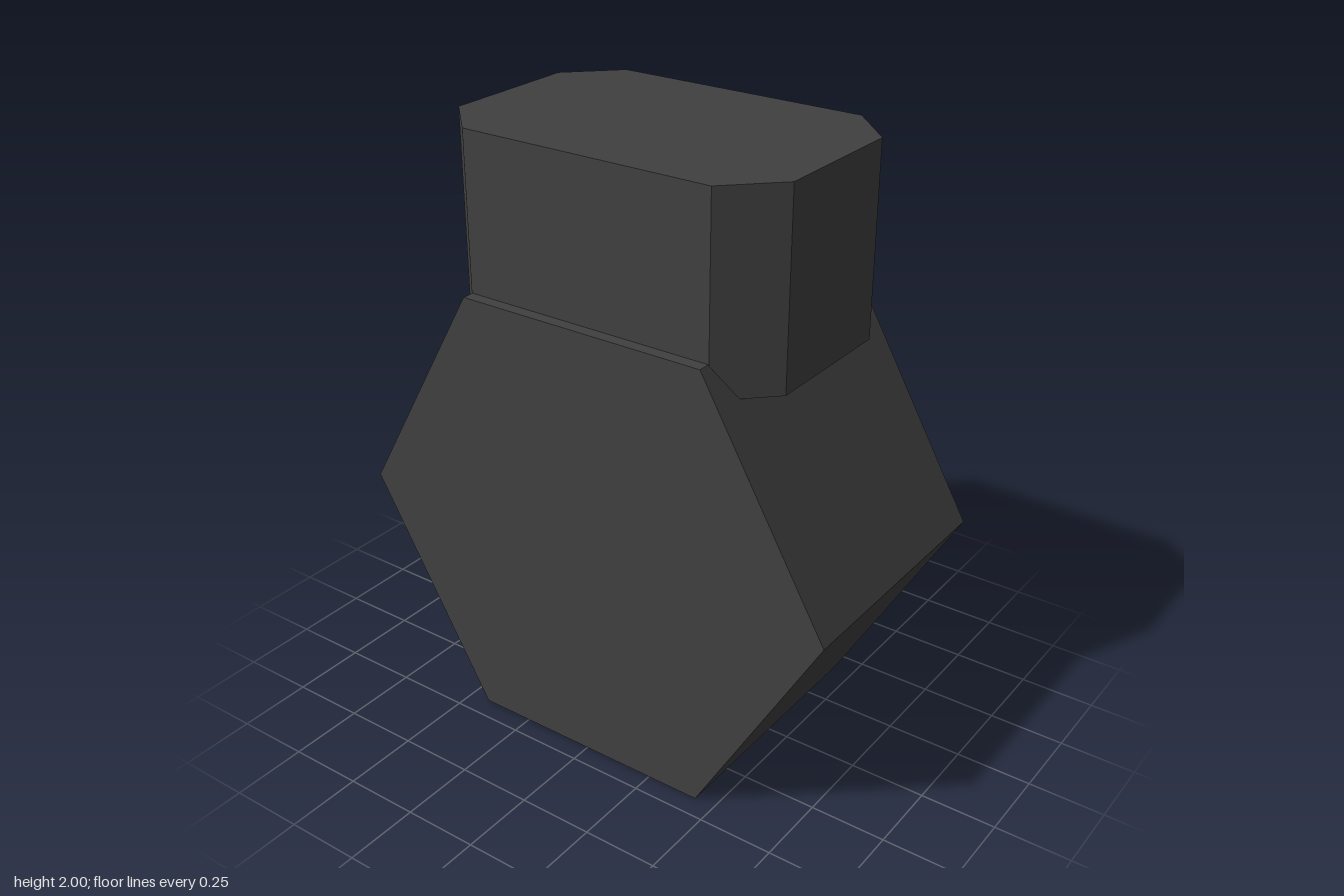
import * as THREE from 'three';

const RADIUS = 0.86;                          // corner radius of the hexagonal body
const HALF_H = RADIUS * Math.sqrt(3) / 2;     // half height across the flats

// Straight prism from a list of outline points, extruded along +z
function prism(points, depth) {
  const shape = new THREE.Shape(points.map(([x, y]) => new THREE.Vector2(x, y)));
  return new THREE.ExtrudeGeometry(shape, { depth, bevelEnabled: false });
}

export function createModel() {
  const group = new THREE.Group();
  group.name = 'hexagonalBlockWithNeck';
  const charcoal = new THREE.MeshStandardMaterial({ color: 0x404040, flatShading: true });
  charcoal.name = 'charcoal';

  // Hexagonal body standing on one flat side
  const hexagon = [];
  for (let i = 0; i < 6; i++) {
    const a = i * Math.PI / 3;
    hexagon.push([RADIUS * Math.cos(a), RADIUS * Math.sin(a)]);
  }
  const body = new THREE.Mesh(prism(hexagon, RADIUS), charcoal);
  body.name = 'body';
  body.position.set(0, HALF_H, -RADIUS / 2);
  group.add(body);

  // Neck with chamfered corners, sunk into the top of the body
  const w = 0.587, d = 0.39, c = 0.155;
  const outline = [
    [w, d - c], [w - c, d], [c - w, d], [-w, d - c],
    [-w, c - d], [c - w, -d], [w - c, -d], [w, c - d],
  ];
  const bottom = 1.378, top = 2;
  const neck = new THREE.Mesh(prism(outline, top - bottom).rotateX(-Math.PI / 2), charcoal);
  neck.name = 'neck';
  neck.position.y = bottom;
  group.add(neck);

  return group;
}
